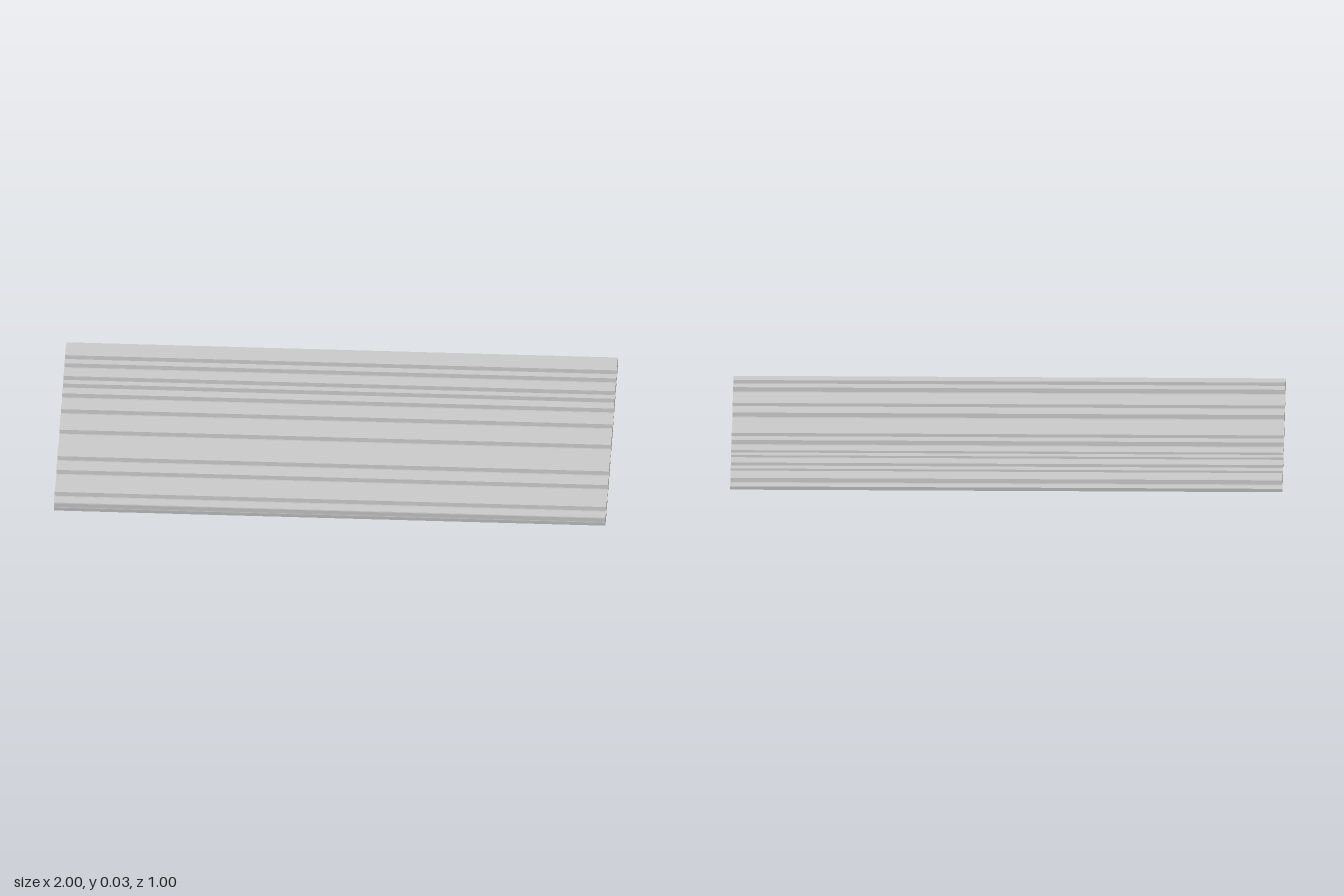
import * as THREE from 'three';

const LENGTH = 2, HALF_WIDTH = 0.5, BASE = 0.013, TOP = 0.034;

// Ribs as [front z, back z] at the foot, from front to back
const RIBS = [
  [0.5, 0.459], [0.434, 0.391], [0.301, 0.242], [0.218, 0.151],
  [0.058, -0.042], [-0.066, -0.109], [-0.162, -0.206], [-0.221, -0.253],
  [-0.267, -0.323], [-0.344, -0.379], [-0.393, -0.468],
];

// Half of a rib's outline: inset from the foot, height
const FLANK = [[0, BASE], [0.002, BASE + 0.003], [0.005, TOP - 0.003], [0.008, TOP]];

export function createModel() {
  const group = new THREE.Group();
  group.name = 'ribbedPanel';

  // Cross-section of the sheet with its sloped ribs
  const points = [new THREE.Vector2(HALF_WIDTH, 0)];
  RIBS.forEach(([front, back], i) => {
    // The first rib is cut almost straight by the panel edge
    const k = i === 0 ? 0.4 : 1;
    for (const [inset, y] of FLANK) points.push(new THREE.Vector2(front - inset * k, y));
    for (const [inset, y] of [...FLANK].reverse()) points.push(new THREE.Vector2(back + inset, y));
  });
  points.push(new THREE.Vector2(-HALF_WIDTH, BASE), new THREE.Vector2(-HALF_WIDTH, 0));

  // Run the section along x
  const geometry = new THREE.ExtrudeGeometry(new THREE.Shape(points), {
    depth: LENGTH, bevelEnabled: false,
  });
  geometry.rotateY(-Math.PI / 2).translate(LENGTH / 2, 0, 0);

  const panel = new THREE.Mesh(geometry, new THREE.MeshStandardMaterial({ color: 0xcccccc }));
  panel.name = 'panel';
  group.add(panel);
  return group;
}
